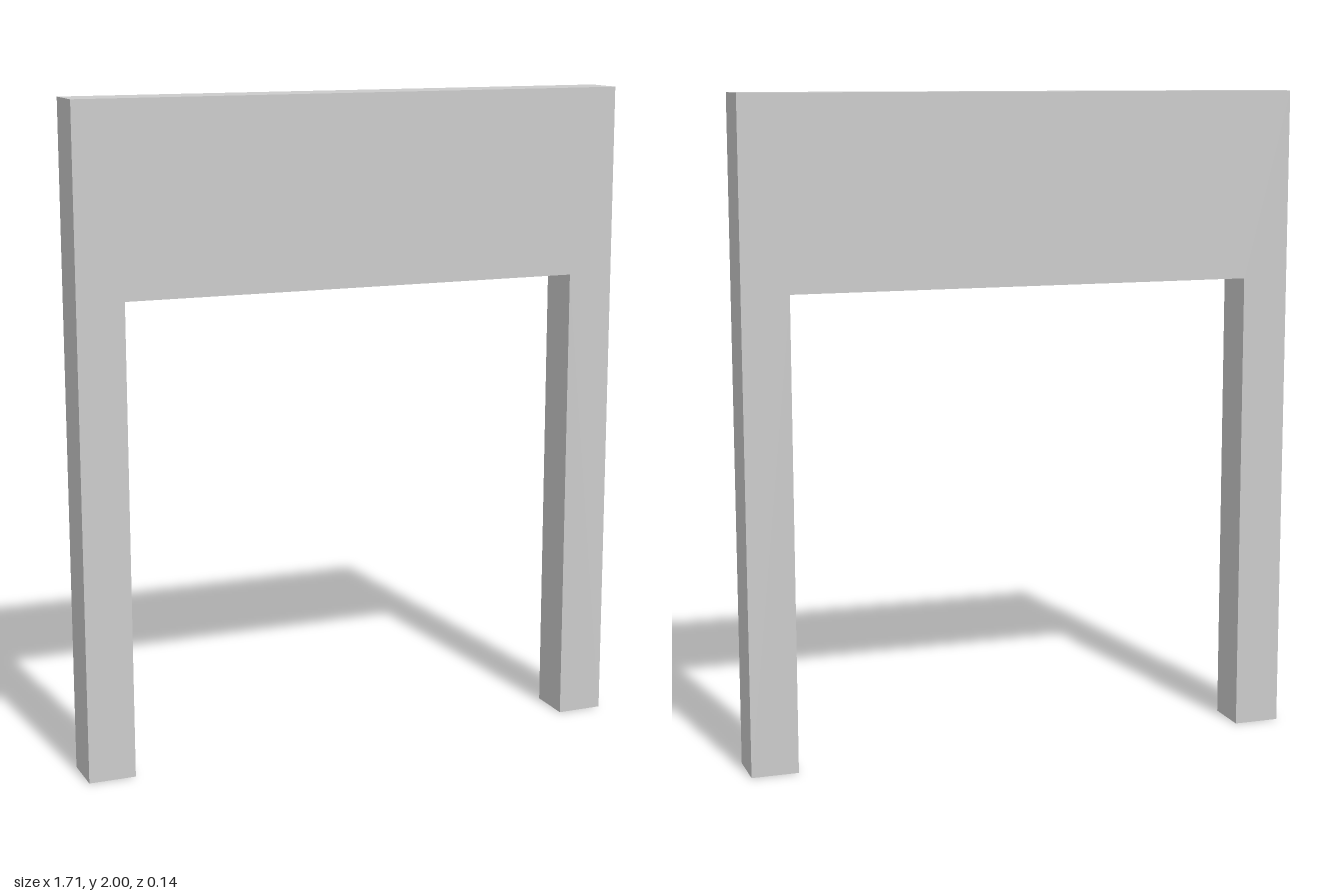
import * as THREE from 'three';

export function createModel() {
  const unit = 1 / 7; // leg thickness; everything is a multiple of it
  const halfWidth = 6 * unit;
  const innerHalf = 5 * unit;
  const height = 14 * unit;
  const openingHeight = 10 * unit;

  // Upside-down U outline: two legs joined by a deep lintel
  const outline = new THREE.Shape([
    [-halfWidth, 0], [-innerHalf, 0], [-innerHalf, openingHeight], [innerHalf, openingHeight],
    [innerHalf, 0], [halfWidth, 0], [halfWidth, height], [-halfWidth, height],
  ].map(([x, y]) => new THREE.Vector2(x, y)));

  const geometry = new THREE.ExtrudeGeometry(outline, { depth: unit, bevelEnabled: false });
  geometry.translate(0, 0, -unit / 2);

  const frame = new THREE.Mesh(geometry, new THREE.MeshStandardMaterial({ color: 0xcccccc }));
  frame.name = 'doorwayFrame';

  const group = new THREE.Group();
  group.name = 'doorway';
  group.add(frame);
  return group;
}
